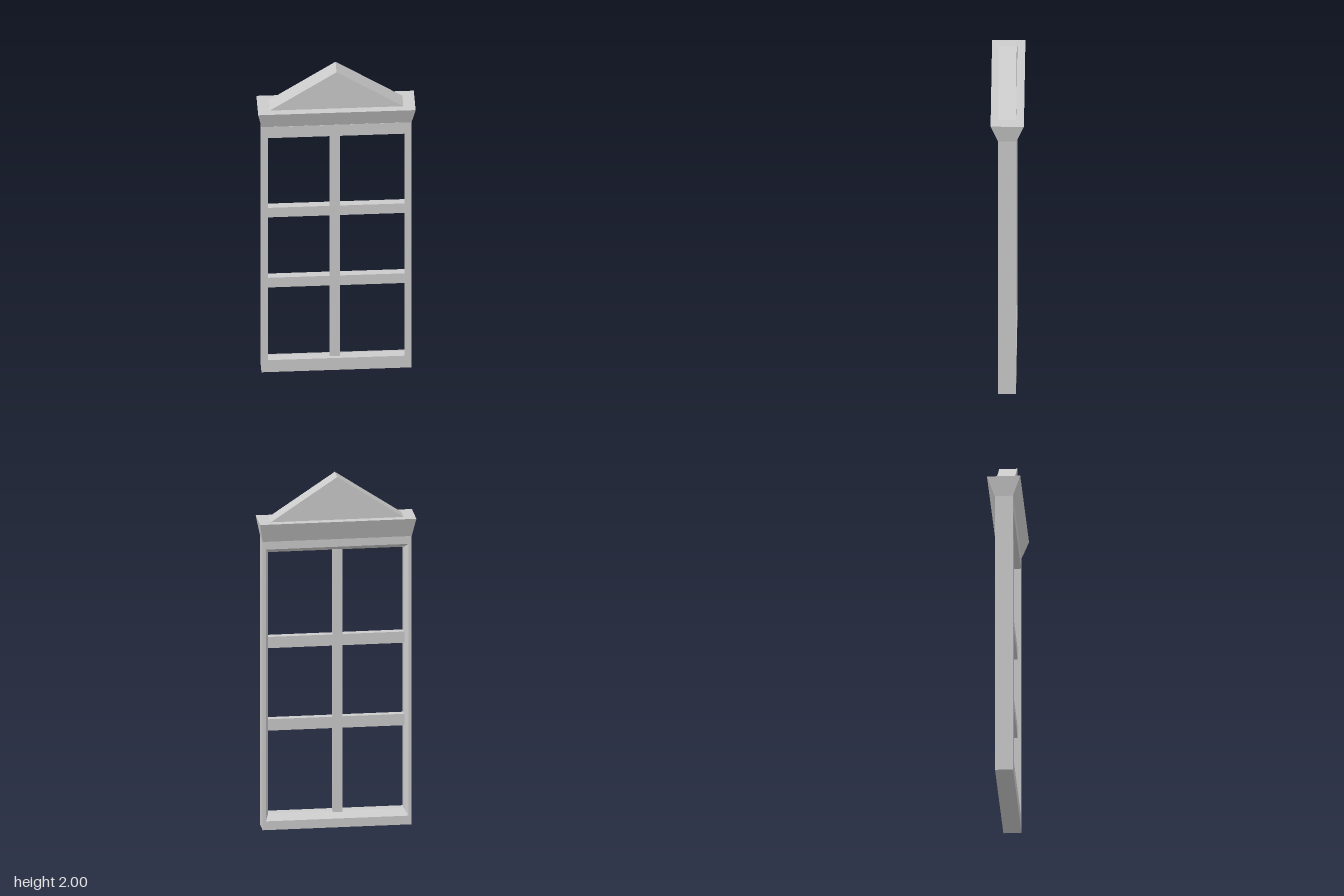
import * as THREE from 'three';

const material = new THREE.MeshStandardMaterial({ color: 0xcccccc, flatShading: true });
const FRONT = 0.051;
const BACK = -0.048;

function addMesh(parent, name, geometry) {
  const mesh = new THREE.Mesh(geometry, material);
  mesh.name = name;
  parent.add(mesh);
  return mesh;
}

function addBox(parent, name, [x0, x1], [y0, y1], [z0, z1]) {
  const mesh = addMesh(parent, name, new THREE.BoxGeometry(x1 - x0, y1 - y0, z1 - z0));
  mesh.position.set((x0 + x1) / 2, (y0 + y1) / 2, (z0 + z1) / 2);
}

// Corners of an upright rectangle, counter-clockwise seen from the front
const rectangle = (halfWidth, y0, y1, z) => [
  [-halfWidth, y0, z], [halfWidth, y0, z], [halfWidth, y1, z], [-halfWidth, y1, z],
];

// Skin consecutive rectangular rings into one closed loop of bands
function ringLoft(rings) {
  const positions = [];
  rings.forEach((a, k) => {
    const b = rings[(k + 1) % rings.length];
    for (let i = 0; i < 4; i++) {
      const j = (i + 1) % 4;
      positions.push(...a[i], ...a[j], ...b[j], ...a[i], ...b[j], ...b[i]);
    }
  });
  const geometry = new THREE.BufferGeometry();
  geometry.setAttribute('position', new THREE.Float32BufferAttribute(positions, 3));
  geometry.computeVertexNormals();
  return geometry;
}

export function createModel() {
  const model = new THREE.Group();
  model.name = 'window';

  // Frame: straight reveal in the front half, splayed reveal at the back
  addMesh(model, 'frame', ringLoft([
    rectangle(0.41, 0, 1.647, BACK),
    rectangle(0.41, 0, 1.647, FRONT),
    rectangle(0.373, 0.08, 1.572, FRONT),
    rectangle(0.373, 0.08, 1.572, 0),
    rectangle(0.393, 0.05, 1.602, BACK),
  ]));

  // Glazing bars: two full-width rails, upright pieces between them
  const bars = new THREE.Group();
  bars.name = 'glazingBars';
  model.add(bars);
  const depth = [-0.008, 0.032];
  const rails = [[0.555, 0.62], [1.026, 1.09]];
  for (const rail of rails) addBox(bars, 'rail', [-0.376, 0.376], rail, depth);
  const uprights = [[0.075, rails[0][0]], [rails[0][1], rails[1][0]], [rails[1][1], 1.576]];
  for (const span of uprights) addBox(bars, 'upright', [-0.036, 0.019], span, depth);

  // Cornice: a box flaring outward towards the top
  const cornice = new THREE.BoxGeometry(2, 0.11, 2);
  const p = cornice.attributes.position;
  for (let i = 0; i < p.count; i++) {
    const top = p.getY(i) > 0;
    p.setX(i, p.getX(i) * (top ? 0.43 : 0.41));
    p.setZ(i, p.getZ(i) * (top ? 0.091 : 0.05));
  }
  cornice.computeVertexNormals();
  addMesh(model, 'cornice', cornice).position.y = 1.702;

  // Triangular pediment on top of the cornice
  const triangle = new THREE.Shape([
    new THREE.Vector2(-0.365, 1.757),
    new THREE.Vector2(0.365, 1.757),
    new THREE.Vector2(0, 2),
  ]);
  const pediment = new THREE.ExtrudeGeometry(triangle, { depth: FRONT - BACK, bevelEnabled: false });
  addMesh(model, 'pediment', pediment.translate(0, 0, BACK));

  return model;
}
